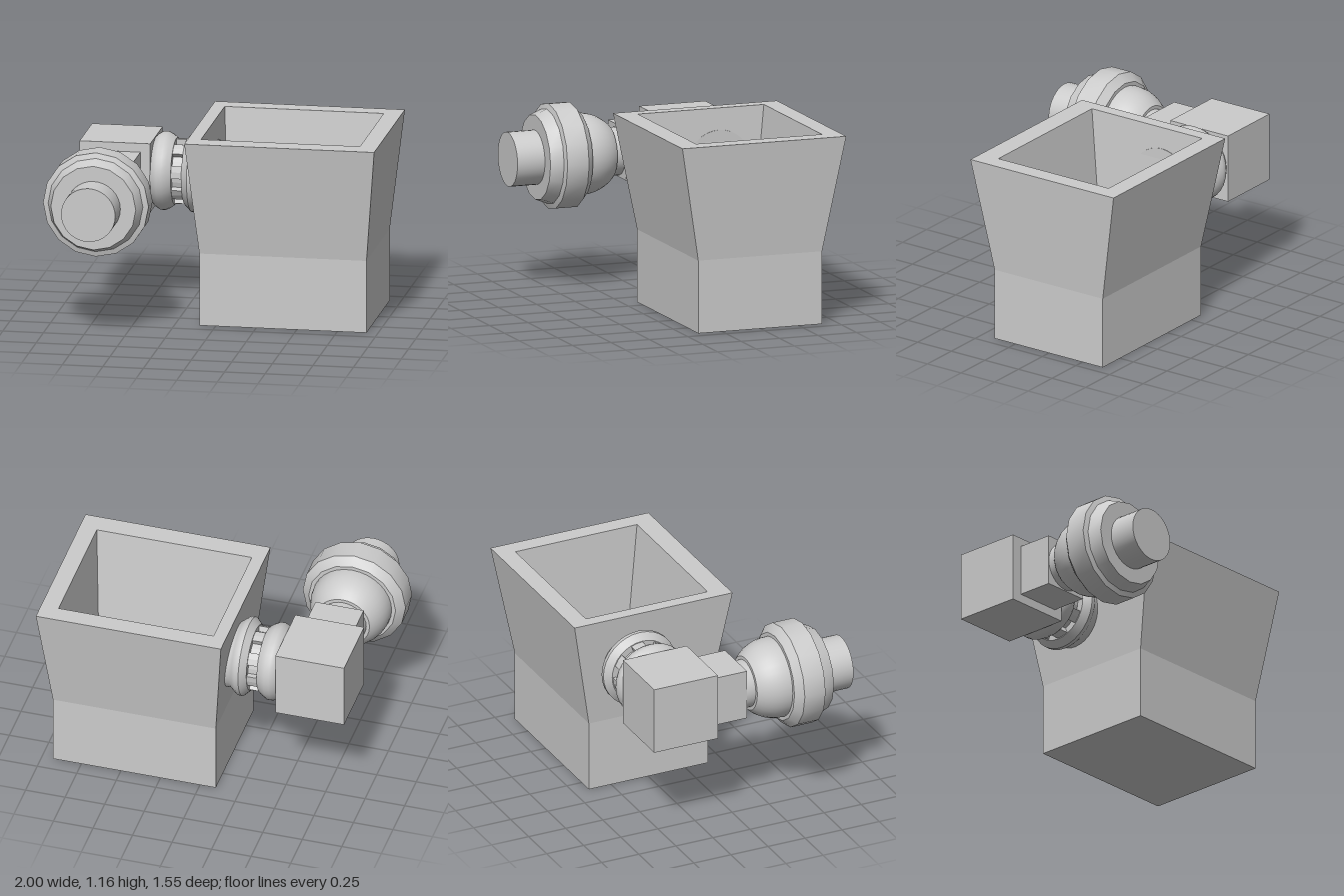
import * as THREE from 'three';
import { toCreasedNormals } from 'three/addons/utils/BufferGeometryUtils.js';

const material = new THREE.MeshStandardMaterial({ color: 0xcccccc });

function add(parent, name, geometry) {
  const mesh = new THREE.Mesh(geometry, material);
  mesh.name = name;
  parent.add(mesh);
  return mesh;
}

// Box given by its limits on each axis
function block(parent, name, x0, x1, y0, y1, z0, z1) {
  add(parent, name, new THREE.BoxGeometry(x1 - x0, y1 - y0, z1 - z0))
    .position.set((x0 + x1) / 2, (y0 + y1) / 2, (z0 + z1) / 2);
}

// Turned part around y from [radius, height] pairs, bottom to top
function turned(profile, sides, crease = 0.5) {
  const points = profile.map(([r, h]) => new THREE.Vector2(r, h));
  return toCreasedNormals(new THREE.LatheGeometry(points, sides), crease);
}

// Skin through rectangles [x0, x1, z0, z1, y], closed at the first and last
function rectLoft(sections) {
  const loops = sections.map(([x0, x1, z0, z1, y]) =>
    [[x0, y, z1], [x1, y, z1], [x1, y, z0], [x0, y, z0]]);
  const pos = [];
  const quad = (a, b, c, d) => pos.push(...a, ...b, ...c, ...a, ...c, ...d);
  for (let i = 0; i < loops.length - 1; i++) {
    for (let k = 0; k < 4; k++) {
      const n = (k + 1) % 4;
      quad(loops[i][k], loops[i][n], loops[i + 1][n], loops[i + 1][k]);
    }
  }
  const [a, b, c, d] = loops[0];
  quad(d, c, b, a);
  quad(...loops[loops.length - 1]);
  const geometry = new THREE.BufferGeometry();
  geometry.setAttribute('position', new THREE.Float32BufferAttribute(pos, 3));
  geometry.computeVertexNormals();
  return geometry;
}

// Drum along x with eight notches round its rim
function slottedDrum(outer, inner, length) {
  const shape = new THREE.Shape();
  for (let i = 0; i < 16; i++) {
    const r = i % 2 === 0 ? inner : outer;
    for (let j = 0; j <= 2; j++) {
      const a = (i + j / 2) * Math.PI / 8;
      const x = -r * Math.sin(a), y = r * Math.cos(a);
      if (i === 0 && j === 0) shape.moveTo(x, y);
      else shape.lineTo(x, y);
    }
  }
  return new THREE.ExtrudeGeometry(shape, { depth: length, bevelEnabled: false }).rotateY(Math.PI / 2);
}

export function createModel() {
  const model = new THREE.Group();
  model.name = 'binWithSideArm';

  // Flared bin, rim and hollow
  add(model, 'bin', rectLoft([
    [-0.10, 0.93, -0.65, 0.155, 0],
    [-0.10, 0.93, -0.65, 0.155, 0.45],
    [-0.17, 1.00, -0.78, 0.285, 1.165],
    [-0.09, 0.89, -0.665, 0.155, 1.165],
    [-0.055, 0.855, -0.585, 0.075, 0.45],
  ]));

  // Joint between bin and elbow, along x
  const joint = new THREE.Group();
  joint.name = 'slottedJoint';
  joint.position.set(0, 0.825, -0.37);
  model.add(joint);
  add(joint, 'outerCollar', turned([[0, -0.47], [0.20, -0.47], [0.225, -0.445], [0.24, -0.42],
    [0.24, -0.39], [0.225, -0.36], [0.205, -0.335], [0, -0.335]], 32, 0.7).rotateZ(-Math.PI / 2));
  add(joint, 'slottedDrum', slottedDrum(0.2, 0.165, 0.075)).position.x = -0.338;
  add(joint, 'innerCollar', turned([[0, -0.27], [0.205, -0.27], [0.225, -0.25], [0.245, -0.23],
    [0.245, -0.205], [0.225, -0.18], [0.205, -0.155], [0.205, -0.08], [0, -0.08]], 32, 0.7).rotateZ(-Math.PI / 2));

  // Elbow blocks
  block(model, 'elbowBlock', -0.895, -0.46, 0.61, 1.04, -0.595, -0.165);
  block(model, 'armBlock', -0.825, -0.52, 0.665, 0.985, -0.165, 0.065);

  // Round head, along z
  const head = new THREE.Group();
  head.name = 'roundHead';
  head.position.set(-0.675, 0.82, 0);
  model.add(head);
  const along = Math.PI / 2;
  add(head, 'neck', turned([[0, 0.05], [0.148, 0.05], [0.148, 0.14], [0, 0.14]], 32).rotateX(along));
  const dome = [[0, 0.125]];
  for (let i = 0; i <= 8; i++) {
    const a = (0.83 - 0.83 * i / 8);
    dome.push([0.25 * Math.cos(a), 0.31 - 0.25 * Math.sin(a)]);
  }
  dome.push([0.25, 0.34]);
  add(head, 'dome', turned(dome, 32).rotateX(along));
  add(head, 'ring', turned([[0, 0.325], [0.275, 0.325], [0.325, 0.37], [0.325, 0.51],
    [0.292, 0.52], [0.262, 0.597], [0, 0.597]], 16).rotateX(along));
  add(head, 'spout', turned([[0, 0.58], [0.167, 0.58], [0.167, 0.775], [0, 0.775]], 32).rotateX(along));

  return model;
}
